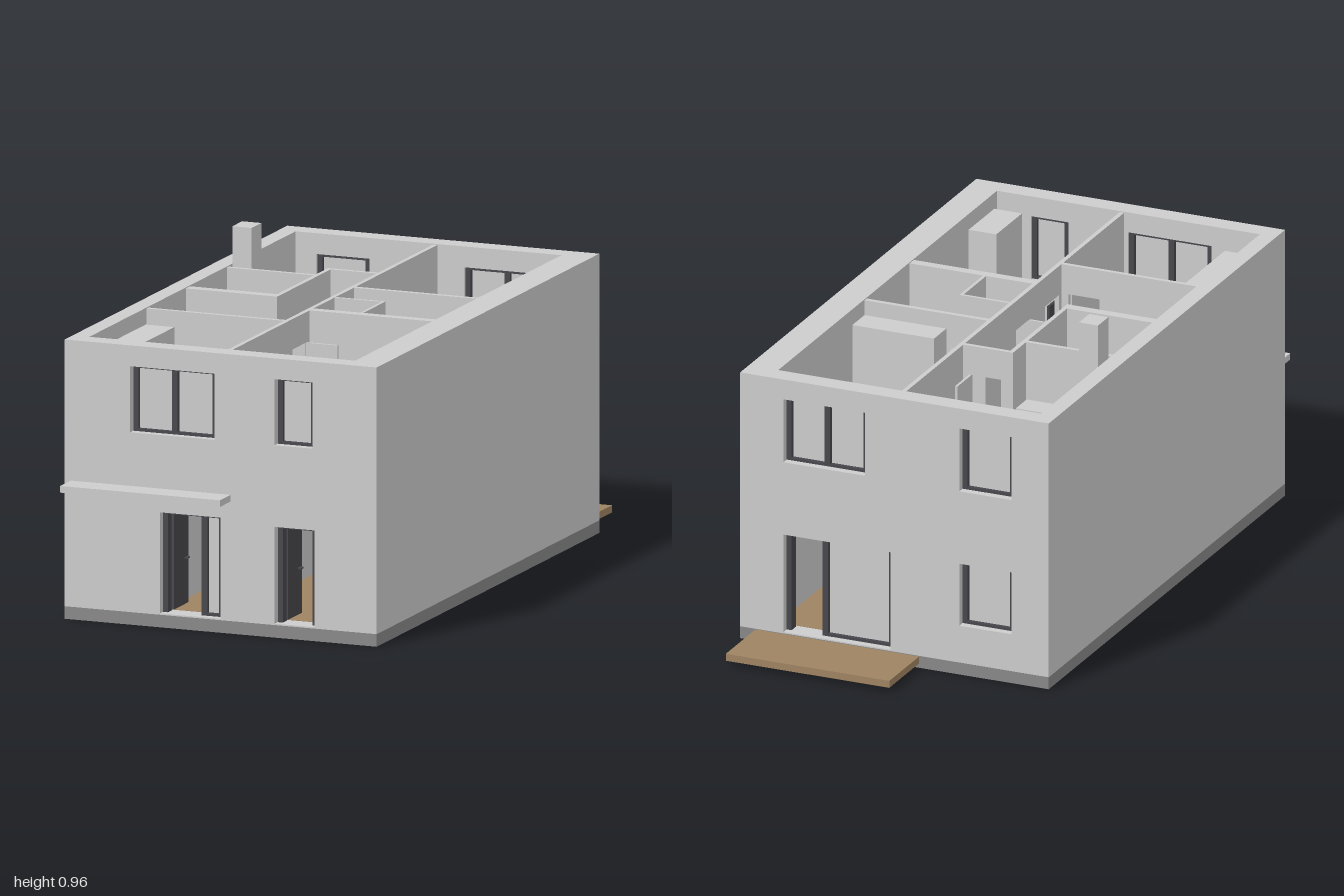
import * as THREE from 'three';

const mat = (name, color) => Object.assign(new THREE.MeshStandardMaterial({ color }), { name });

export function createModel() {
  const house = new THREE.Group();
  house.name = 'house';
  const wallMat = mat('wall light grey', 0xcccccc);
  const slabMat = mat('slab grey', 0x888888);
  const frameMat = mat('frame charcoal', 0x46464c);
  const woodMat = mat('wood brown', 0x9e8361);

  const add = (name, geo, material) => {
    const m = new THREE.Mesh(geo, material);
    m.name = name;
    house.add(m);
    return m;
  };
  // Box given by its limits on each axis
  const box = (name, material, x0, x1, y0, y1, z0, z1) => {
    const m = add(name, new THREE.BoxGeometry(x1 - x0, y1 - y0, z1 - z0), material);
    m.position.set((x0 + x1) / 2, (y0 + y1) / 2, (z0 + z1) / 2);
    return m;
  };
  const rect = (Type, a0, a1, b0, b1) => {
    const s = new Type();
    s.moveTo(a0, b0); s.lineTo(a1, b0); s.lineTo(a1, b1); s.lineTo(a0, b1); s.closePath();
    return s;
  };
  const plate = (outline, holes, depth) => {
    const s = rect(THREE.Shape, ...outline);
    holes.forEach(h => s.holes.push(rect(THREE.Path, ...h)));
    return new THREE.ExtrudeGeometry(s, { depth, bevelEnabled: false });
  };
  // Walls along x or z; holes are [from, to, bottom, top]
  const wallX = (name, x0, x1, y0, y1, z, t, holes = []) => {
    add(name, plate([x0, x1, y0, y1], holes, t), wallMat).position.z = z;
  };
  const wallZ = (name, z0, z1, y0, y1, x, t, holes = []) => {
    const m = add(name, plate([z0, z1, y0, y1], holes, t), wallMat);
    m.rotation.y = -Math.PI / 2;
    m.position.x = x + t;
  };
  // Horizontal slab whose upper face lies at y
  const floor = (name, material, outline, y, t, holes = []) => {
    const m = add(name, plate(outline, holes, t), material);
    m.rotation.x = Math.PI / 2;
    m.position.y = y;
  };

  const G = 0.038, F = 0.44, TOP = 0.845;
  const L = -0.447, R = 0.405, B = -0.722, FR = 0.855;

  // Outer shell
  box('baseSlab', slabMat, -0.5, 0.5, 0, G, -0.785, 0.918);
  const winY = [0.582, 0.782];
  const frontWins = [[-0.29, -0.02, ...winY], [0.173, 0.295, ...winY]];
  const frontDoor = [-0.195, 0, 0.042, 0.348], sideDoor = [0.173, 0.301, 0.042, 0.335];
  const backWins = [[0.095, 0.36, ...winY], [-0.38, -0.21, ...winY], [-0.38, -0.21, 0.155, 0.352]];
  const patio = [0.013, 0.36, 0.042, 0.352];
  wallX('frontWall', -0.5, 0.5, G, TOP, FR, 0.063, [...frontWins, frontDoor, sideDoor]);
  wallX('backWall', -0.5, 0.5, G, TOP, -0.785, 0.063, [...backWins, patio]);
  box('rightWall', wallMat, -0.5, L, G, TOP, B, FR);
  box('leftWall', wallMat, R, 0.5, G, TOP, B, FR);
  box('deck', woodMat, -0.08, 0.45, 0.014, 0.036, -1, -0.785);
  box('canopy', wallMat, -0.48, 0.032, 0.4, 0.42, 0.918, 1);
  box('chimney', wallMat, -0.435, -0.373, G, 0.965, -0.285, -0.21);

  // Floors with the stair opening
  const stairHole = [L + 0.001, -0.155, 0.118, 0.402];
  floor('groundFloor', woodMat, [L, R, B, FR], G + 0.005, 0.005);
  floor('upperSlab', wallMat, [L, R, B, FR], F - 0.005, 0.04, [stairHole]);
  floor('upperFloor', woodMat, [L, R, B, FR], F, 0.005, [stairHole]);
  floor('rightBathFloor', slabMat, [L, -0.165, -0.2, 0.1], F + 0.004, 0.004);
  floor('leftBathFloor', slabMat, [0, R, -0.09, 0.24], F + 0.004, 0.004);

  // Window and door frames: posts split the opening, solid bays get glass
  const w = 0.016;
  const frame = (name, [x0, x1, y0, y1], z, posts = [], openBay = -1) => {
    const bar = (...a) => box(name + 'Frame', frameMat, ...a, z - 0.016, z + 0.016);
    bar(x0, x0 + w, y0, y1);
    bar(x1 - w, x1, y0, y1);
    bar(x0 + w, x1 - w, y1 - w * 0.5, y1);
    posts.forEach(p => bar(p - 0.009, p + 0.009, y0, y1 - w * 0.5));
    const edges = [x0 + w, ...posts, x1 - w];
    for (let i = 0; i < edges.length - 1; i++) {
      if (i === openBay) continue;
      bar(edges[i], edges[i + 1], y0, y0 + w * 0.5);
      box(name + 'Glass', wallMat, edges[i], edges[i + 1], y0 + w * 0.5, y1 - w * 0.5, z - 0.003, z + 0.003);
    }
  };
  frontWins.forEach((o, i) => frame('frontWindow', o, 0.878, i ? [] : [-0.157]));
  backWins.forEach((o, i) => frame('backWindow', o, -0.745, i ? [] : [0.228]));
  frame('frontDoor', frontDoor, 0.878, [-0.062], 0);
  frame('sideDoor', sideDoor, 0.878, [], 0);
  frame('patioDoor', patio, -0.745, [0.235], 1);
  // Outer door leaves standing open
  box('frontDoorLeaf', frameMat, -0.182, -0.172, 0.045, 0.34, 0.755, 0.865);
  box('sideDoorLeaf', frameMat, 0.184, 0.194, 0.045, 0.327, 0.76, 0.865);
  box('patioDoorLeaf', frameMat, 0.236, 0.246, 0.045, 0.344, -0.73, -0.635);
  box('doorHandle', frameMat, -0.172, -0.162, 0.183, 0.187, 0.765, 0.785);
  box('doorHandle', frameMat, 0.194, 0.204, 0.183, 0.187, 0.77, 0.79);

  // Upper partitions
  const H = 0.842, dt = F + 0.31;
  wallZ('centreWall', B, FR, F, H, -0.007, 0.014,
    [[-0.245, -0.145, F + 0.004, dt], [0.075, 0.17, F + 0.004, dt], [0.285, 0.385, F + 0.004, dt]]);
  wallX('hallEndWall', -0.168, -0.007, F, H, -0.305, 0.014, [[-0.13, -0.03, F + 0.004, dt]]);
  wallZ('hallSideWall', -0.291, 0.118, F, H, -0.168, 0.014);
  wallX('bathBackWall', L, -0.168, F, H, -0.21, 0.014);
  wallX('bathFrontWall', L, -0.168, F, H, 0.085, 0.032);
  wallX('stairFrontWall', L, -0.007, F, H, 0.403, 0.014, [[-0.13, -0.03, F + 0.004, dt]]);
  wallX('bedroomWall', 0.007, R, F, H, -0.1, 0.016);
  wallX('bathroomWall', 0.007, R, F, H, 0.225, 0.03);
  wallX('toiletBackWall', 0.007, 0.167, F, H, 0.054, 0.01);
  wallZ('toiletSideWall', 0.064, 0.225, F, H, 0.157, 0.01);

  // Open inner doors: hinge end, direction along x or z
  const leafX = (x0, z) => {
    box('innerDoor', wallMat, x0, x0 + 0.1, F + 0.005, dt, z - 0.004, z + 0.004);
    const hx = x0 < 0 ? x0 + 0.012 : x0 + 0.088;
    box('innerHandle', frameMat, hx - 0.008, hx + 0.008, F + 0.145, F + 0.15, z - 0.013, z + 0.013);
  };
  const leafZ = (x, z0, tip) => {
    box('innerDoor', wallMat, x - 0.004, x + 0.004, F + 0.005, dt, z0, z0 + 0.1);
    box('innerHandle', frameMat, x - 0.013, x + 0.013, F + 0.145, F + 0.15, tip - 0.008, tip + 0.008);
  };
  leafX(0.008, -0.14); leafX(0.008, 0.28); leafX(-0.108, 0.17);
  leafZ(-0.03, -0.405, -0.39); leafZ(-0.03, 0.418, 0.506);

  // Ground floor partitions
  wallZ('groundCentreWall', 0.1, FR, G, 0.4, 0.002, 0.014);
  wallX('groundBackWall', 0.016, R, G, 0.4, 0.235, 0.014);
  wallX('groundStairWall', L, 0.002, G, 0.4, 0.09, 0.014);
  wallZ('entranceSideWall', 0.42, FR, G, 0.4, -0.214, 0.014);
  wallX('entranceBackWall', -0.2, 0.002, G, 0.4, 0.42, 0.014);
  box('entranceInnerDoor', wallMat, -0.125, -0.03, 0.045, 0.33, 0.434, 0.442);
  box('entranceInnerHandle', frameMat, -0.085, -0.065, 0.183, 0.187, 0.442, 0.452);

  // Winding stair: straight flight, fan of winders, straight flight
  const rise = (F - G) / 15, px = -0.32, pz = 0.27, run = 0.041;
  const dx = px - L, zBack = pz - 0.12, zFront = 0.4 - pz;
  const ray = a => {
    const s = Math.sin(a), c = Math.cos(a);
    const k = Math.min(dx / Math.max(s, 1e-6), c > 0 ? zBack / Math.max(c, 1e-6) : zFront / Math.max(-c, 1e-6));
    return [px - s * k, pz - c * k];
  };
  const corners = [[Math.atan2(dx, zBack), L, pz - zBack], [Math.atan2(dx, -zFront), L, pz + zFront]];
  for (let i = 0; i < 14; i++) {
    const y = G + (i + 1) * rise;
    if (i < 4) {
      box('stairTread', woodMat, -0.156 - (i + 1) * run, -0.156 - i * run, y - rise, y, 0.12, pz - 0.005);
    } else if (i < 10) {
      const a0 = (i - 4) * Math.PI / 6, a1 = a0 + Math.PI / 6;
      const pts = [[px, pz], ray(a0)];
      corners.forEach(([a, x, z]) => { if (a > a0 && a < a1) pts.push([x, z]); });
      pts.push(ray(a1));
      const shape = new THREE.Shape(pts.map(p => new THREE.Vector2(...p)));
      const m = add('winderTread', new THREE.ExtrudeGeometry(shape, { depth: rise, bevelEnabled: false }), woodMat);
      m.rotation.x = Math.PI / 2;
      m.position.y = y;
    } else {
      const x = px + (i - 10) * run;
      box('stairTread', woodMat, x, x + run, y - rise, y, pz + 0.005, 0.4);
    }
  }
  box('stairSpine', wallMat, px, -0.155, G, F + 0.13, pz - 0.005, pz + 0.005);
  box('stairRailing', frameMat, -0.161, -0.154, F, F + 0.14, 0.12, 0.265);

  // Wardrobes and cabinets
  [[0.14, R, -0.188, -0.1, 0.795], [L, -0.355, 0.425, 0.807, 0.795],
    [0.315, R, 0.65, 0.835, 0.795], [-0.373, -0.17, -0.288, -0.21, 0.66]]
    .forEach(([x0, x1, z0, z1, y]) => box('wardrobe', wallMat, x0, x1, F, y, z0, z1));

  // Beds: dark base, light mattress and pillow, headboard along one edge
  const bed = (x0, x1, z0, z1, headX) => {
    box('bedBase', frameMat, x0, x1, F, F + 0.045, z0, z1);
    box('mattress', wallMat, x0 + 0.004, x1 - 0.004, F + 0.045, F + 0.08, z0 + 0.004, z1 - 0.004);
    if (headX) {
      box('headboard', frameMat, x1 - 0.01, x1, F, F + 0.13, z0, z1);
      box('pillow', wallMat, x1 - 0.035, x1 - 0.012, F + 0.08, F + 0.095, z0 + 0.01, z1 - 0.01);
    } else {
      box('headboard', frameMat, x0, x1, F, F + 0.13, z0, z0 + 0.008);
      box('pillow', wallMat, x0 + 0.01, x1 - 0.01, F + 0.08, F + 0.095, z0 + 0.01, z0 + 0.032);
    }
  };
  bed(-0.135, -0.018, -0.712, -0.452, false);
  bed(0.138, 0.402, -0.612, -0.37, true);
  bed(0.284, 0.402, 0.257, 0.52, false);

  // Desks with end panels, and chairs
  const desk = (x0, x1, z0, z1) => {
    box('deskTop', woodMat, x0, x1, F + 0.108, F + 0.116, z0, z1);
    [z0, z1 - 0.008].forEach(z => box('deskPanel', woodMat, x0, x1, F, F + 0.108, z, z + 0.008));
  };
  desk(-0.442, -0.326, -0.705, -0.53);
  desk(-0.124, -0.018, 0.645, 0.82);
  desk(0.008, 0.122, 0.648, 0.823);
  [[-0.323, -0.615, 1], [-0.185, 0.73, -1], [0.122, 0.73, 1]].forEach(([x, z, side]) => {
    const x1 = x + 0.053, back = side > 0 ? x1 - 0.008 : x;
    box('chairSeat', frameMat, x, x1, F + 0.06, F + 0.07, z - 0.026, z + 0.026);
    box('chairBack', frameMat, back, back + 0.008, F + 0.07, F + 0.13, z - 0.026, z + 0.026);
    for (const lx of [x, x1 - 0.006]) for (const lz of [z - 0.026, z + 0.02])
      box('chairLeg', frameMat, lx, lx + 0.006, F, F + 0.06, lz, lz + 0.006);
  });

  // Bathroom fittings
  box('showerTray', wallMat, L, -0.305, F, F + 0.012, -0.065, 0.085);
  box('bathtub', wallMat, 0.167, R, F, F + 0.09, 0.13, 0.225);
  [[-0.435, -0.385, -0.18, -0.115], [0.322, 0.385, 0, 0.063], [0.12, 0.147, 0.078, 0.115]]
    .forEach(([x0, x1, z0, z1]) => box('basin', wallMat, x0, x1, F + 0.1, F + 0.13, z0, z1));
  [[-0.235, 0.04], [0.07, 0.175]].forEach(([x, z]) => {
    const bowl = add('toiletBowl', new THREE.CylinderGeometry(0.024, 0.016, 0.06, 20), wallMat);
    bowl.scale.z = 1.35;
    bowl.position.set(x, F + 0.032, z);
    box('toiletCistern', wallMat, x - 0.018, x + 0.018, F + 0.03, F + 0.11, z + 0.025, z + 0.046);
  });
  return house;
}
